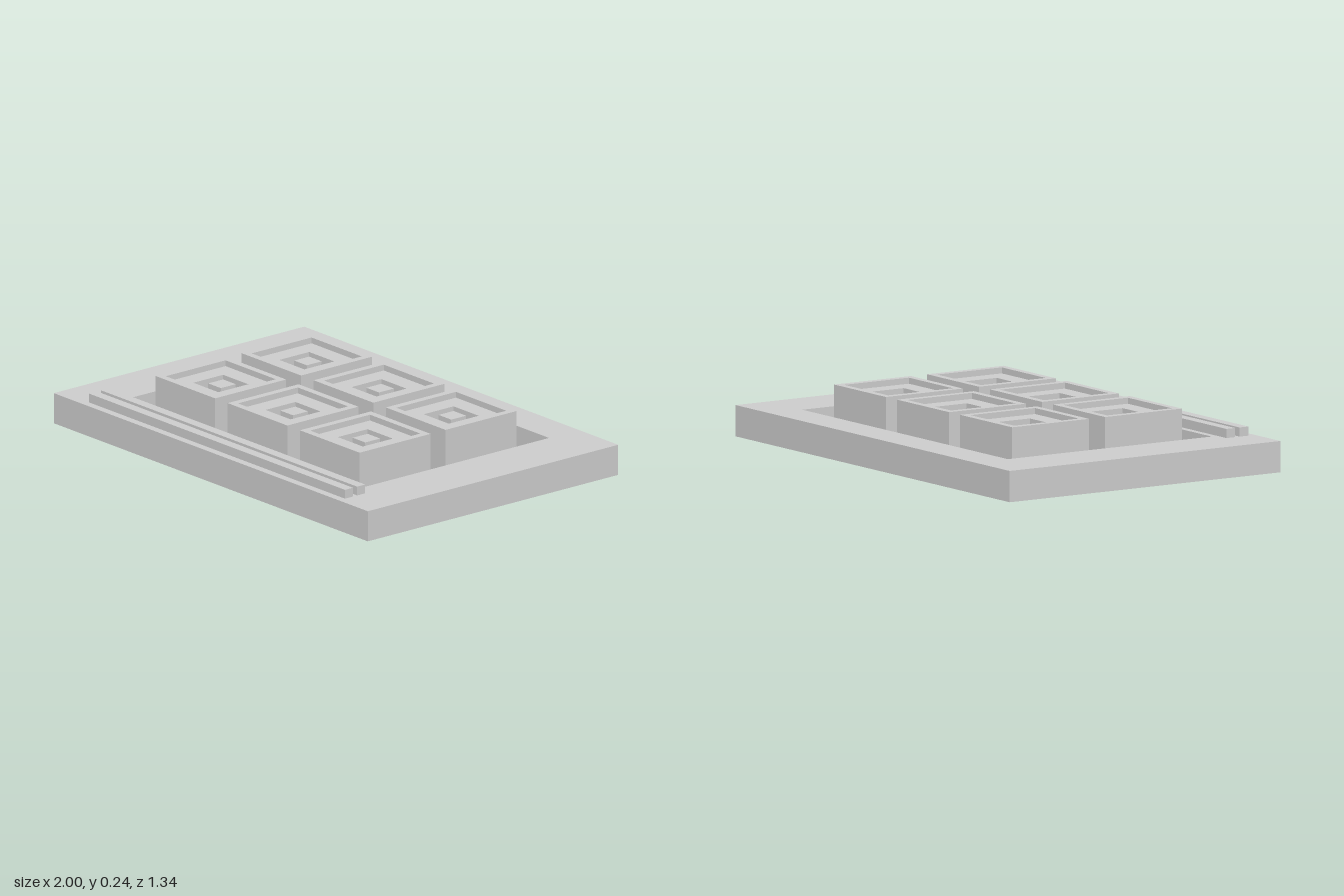
import * as THREE from 'three';

const material = new THREE.MeshStandardMaterial({
  color: 0xcccccc, flatShading: true, side: THREE.DoubleSide,
});

const TOP = 0.13; // height of the housing's top plate
const FLOOR = 0.025; // height of the sunken tray floor

// Rectangle centred on (x, z), w wide and d deep
const rect = (x, z, w, d) => ({ x0: x - w / 2, x1: x + w / 2, z0: z - d / 2, z1: z + d / 2 });

// Joins a row of [rectangle, height] sections with walls; optionally closes the last one
function loft(name, sections, cap = true) {
  const positions = [];
  const index = [];
  for (const [r, y] of sections) {
    positions.push(r.x0, y, r.z1, r.x1, y, r.z1, r.x1, y, r.z0, r.x0, y, r.z0);
  }
  for (let s = 0; s < sections.length - 1; s++) {
    for (let i = 0; i < 4; i++) {
      const a = s * 4 + i;
      const b = s * 4 + ((i + 1) % 4);
      index.push(a, b, b + 4, a, b + 4, a + 4);
    }
  }
  if (cap) {
    const e = (sections.length - 1) * 4;
    index.push(e, e + 1, e + 2, e, e + 2, e + 3);
  }
  const indexed = new THREE.BufferGeometry();
  indexed.setAttribute('position', new THREE.Float32BufferAttribute(positions, 3));
  indexed.setIndex(index);
  const geometry = indexed.toNonIndexed();
  geometry.computeVertexNormals();
  const mesh = new THREE.Mesh(geometry, material);
  mesh.name = name;
  return mesh;
}

// Traces a rectangle into a shape or path, with z turned to lie flat
function trace(path, r) {
  path.moveTo(r.x0, -r.z0);
  path.lineTo(r.x1, -r.z0);
  path.lineTo(r.x1, -r.z1);
  path.lineTo(r.x0, -r.z1);
  path.closePath();
  return path;
}

// Square key with a stepped dish, a central pit and a small corner block
function makeKey(x, z) {
  const key = new THREE.Group();
  key.name = 'key';
  const square = (w) => rect(x, z, w, w);
  key.add(loft('keyBody', [
    [square(0.38), FLOOR],
    [square(0.38), 0.24],
    [square(0.32), 0.24],
    [square(0.32), 0.215],
    [square(0.16), 0.215],
    [square(0.16), 0.165],
  ]));
  const corner = rect(x - 0.04, z - 0.04, 0.08, 0.08);
  key.add(loft('cornerBlock', [[corner, 0.165], [corner, 0.195]]));
  return key;
}

export function createModel() {
  const model = new THREE.Group();
  model.name = 'keypadPanel';

  const outer = rect(0, 0, 2, 1.34);
  const tray = rect(0, -0.005, 1.5, 1.01);
  const bars = [0.55, 0.615].map((z) => rect(0, z, 1.63, 0.043));

  // Housing open underneath: side walls and a pierced top plate
  model.add(loft('housingWalls', [[outer, 0], [outer, TOP]], false));
  const plateShape = trace(new THREE.Shape(), outer);
  for (const r of [tray, ...bars]) plateShape.holes.push(trace(new THREE.Path(), r));
  const plate = new THREE.Mesh(new THREE.ShapeGeometry(plateShape), material);
  plate.name = 'topPlate';
  plate.rotation.x = -Math.PI / 2;
  plate.position.y = TOP;
  model.add(plate);

  // Sunken tray that holds the keys
  model.add(loft('tray', [[tray, TOP], [tray, FLOOR]]));

  // Two hollow ribs along the front edge
  for (const r of bars) model.add(loft('frontRib', [[r, TOP], [r, 0.168]]));

  // Two rows of three keys
  for (const z of [-0.23, 0.23]) {
    for (const x of [-0.46, 0, 0.46]) model.add(makeKey(x, z));
  }
  return model;
}
